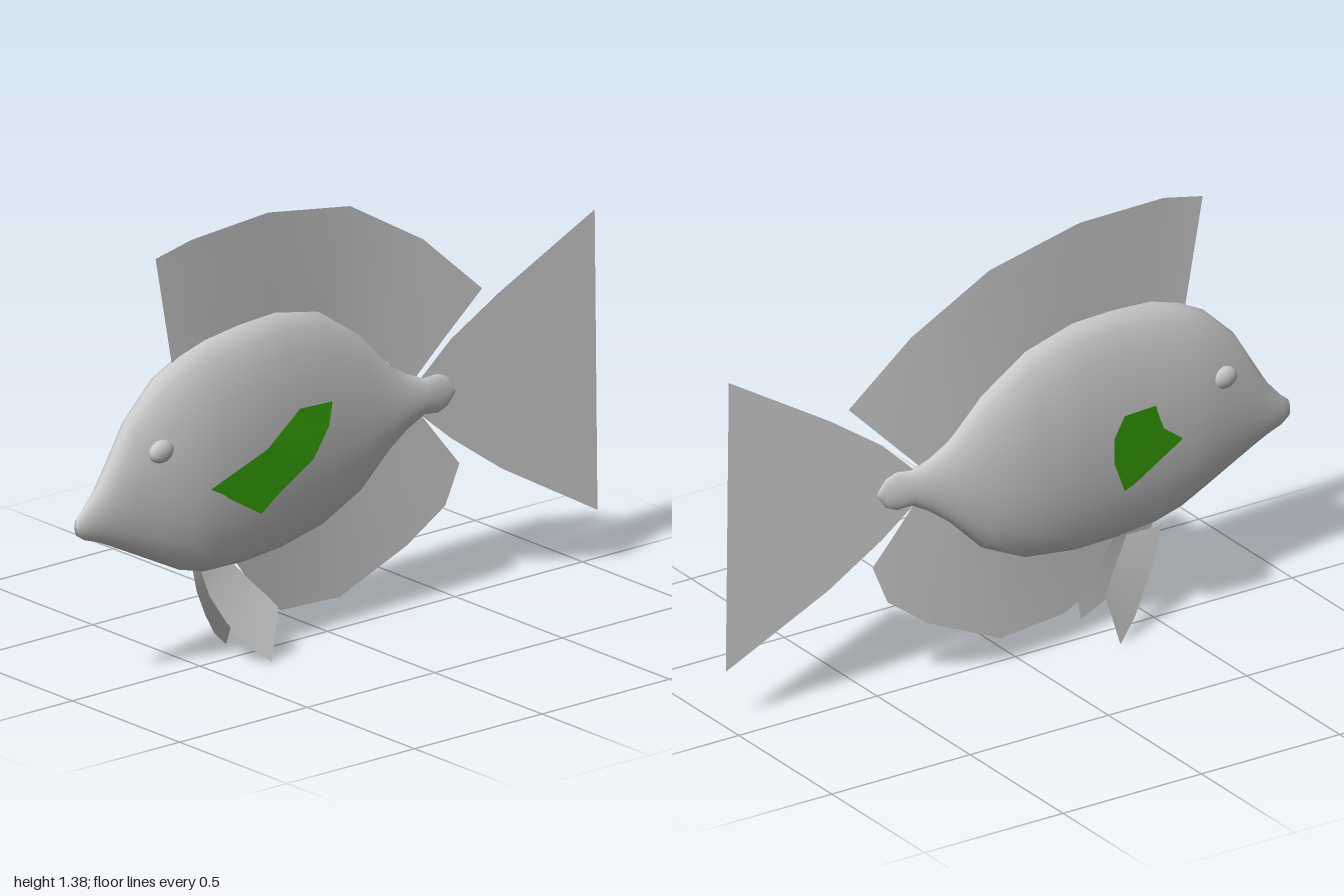
import * as THREE from 'three';

const grey = new THREE.MeshStandardMaterial({ color: 0xcccccc });
const finGrey = new THREE.MeshStandardMaterial({ color: 0xcccccc, side: THREE.DoubleSide });
const finGreen = new THREE.MeshStandardMaterial({ color: 0x4cdc10, side: THREE.DoubleSide });

// Body stations, nose to tail: z, top, bottom, right edge x, left edge x
const stations = [
  [1.0, 0.585, 0.53, 0.01, 0.035],
  [0.97, 0.61, 0.51, 0.0, 0.04],
  [0.92, 0.665, 0.493, -0.012, 0.05],
  [0.87, 0.745, 0.47, -0.022, 0.06],
  [0.8, 0.86, 0.435, -0.037, 0.075],
  [0.69, 0.965, 0.38, -0.058, 0.097],
  [0.6, 1.01, 0.335, -0.068, 0.11],
  [0.5, 1.04, 0.308, -0.077, 0.117],
  [0.35, 1.055, 0.3, -0.09, 0.11],
  [0.2, 1.055, 0.305, -0.102, 0.09],
  [0.02, 1.015, 0.335, -0.11, 0.065],
  [-0.14, 0.91, 0.41, -0.09, 0.04],
  [-0.25, 0.79, 0.52, -0.062, 0.028],
  [-0.32, 0.745, 0.572, -0.045, 0.022],
  [-0.38, 0.72, 0.605, -0.03, 0.02],
  [-0.43, 0.725, 0.6, -0.02, 0.018],
  [-0.465, 0.71, 0.615, -0.01, 0.016],
  [-0.49, 0.675, 0.65, 0.0, 0.014],
];

// Sideways bend of the swimming body, continued into the tail
const spine = [...stations.map(([z, , , r, l]) => [z, (r + l) / 2]), [-1, 0.07]];
function bend(z) {
  for (let i = 0; i < spine.length - 1; i++) {
    const [z0, x0] = spine[i], [z1, x1] = spine[i + 1];
    if (z >= z1) return x0 + (x1 - x0) * Math.min(1, Math.max(0, (z0 - z) / (z0 - z1)));
  }
  return 0.07;
}

// Surface through equal-length rows of [x, y, z] points
function loft(rows) {
  const n = rows[0].length, index = [];
  for (let i = 0; i < rows.length - 1; i++) {
    for (let j = 0; j < n - 1; j++) {
      const a = i * n + j, b = a + 1, c = a + n, d = c + 1;
      index.push(a, c, b, b, c, d);
    }
  }
  const g = new THREE.BufferGeometry();
  g.setAttribute('position', new THREE.Float32BufferAttribute(rows.flat(2), 3));
  g.setIndex(index);
  g.computeVertexNormals();
  return g;
}

function bodyGeometry() {
  const sides = 24;
  const ring = ([z, top, bottom, r, l]) => Array.from({ length: sides + 1 }, (_, j) => {
    const a = -Math.PI / 2 + (j / sides) * Math.PI * 2;
    return [
      (r + l) / 2 + ((l - r) / 2) * Math.cos(a),
      (top + bottom) / 2 + ((top - bottom) / 2) * Math.sin(a), z];
  });
  // Collapsed end rings close the nose and the tail root
  const rows = [[1.004, 0.557, 0.557, 0.022, 0.022], ...stations, [-0.495, 0.662, 0.662, 0.007, 0.007]];
  const g = loft(rows.map(ring));
  // Match normals along the seam on the belly
  const nrm = g.attributes.normal, a = new THREE.Vector3(), b = new THREE.Vector3();
  for (let i = 0; i < rows.length; i++) {
    const s = i * (sides + 1), e = s + sides;
    a.fromBufferAttribute(nrm, s).add(b.fromBufferAttribute(nrm, e)).normalize();
    nrm.setXYZ(s, a.x, a.y, a.z);
    nrm.setXYZ(e, a.x, a.y, a.z);
  }
  return g;
}

// Median fin between two [z, y] edges, following the bend of the body
function medianFin(inner, outer, steps = 4) {
  const rows = [];
  for (let i = 0; i <= steps; i++) {
    rows.push(inner.map(([z0, y0], j) => {
      const t = i / steps;
      const z = z0 + (outer[j][0] - z0) * t, y = y0 + (outer[j][1] - y0) * t;
      return [bend(z), y, z];
    }));
  }
  return loft(rows);
}

export function createModel() {
  const fish = new THREE.Group();
  fish.name = 'fish';
  const add = (name, geometry, material) => {
    const m = new THREE.Mesh(geometry, material);
    m.name = name;
    fish.add(m);
    return m;
  };

  add('body', bodyGeometry(), grey);

  add('dorsalFin', medianFin(
    [[0.625, 0.98], [0.5, 1.02], [0.22, 1.03], [0.02, 0.99], [-0.16, 0.87], [-0.34, 0.715]],
    [[0.69, 1.34], [0.55, 1.37], [0.23, 1.38], [-0.11, 1.32], [-0.38, 1.16], [-0.59, 0.965]]), finGrey);

  add('analFin', medianFin(
    [[0.38, 0.32], [0.28, 0.32], [0.2, 0.32], [0.02, 0.35], [-0.14, 0.43], [-0.25, 0.54], [-0.36, 0.62]],
    [[0.27, 0.175], [0.22, 0.125], [0.17, 0.105], [-0.07, 0.09], [-0.32, 0.2], [-0.46, 0.3], [-0.51, 0.425]]), finGrey);

  add('tailFin', medianFin(
    [[-0.37, 0.72], [-0.48, 0.825], [-0.65, 0.94], [-0.99, 1.14]],
    [[-0.37, 0.605], [-0.48, 0.51], [-0.66, 0.38], [-1.0, 0.185]]), finGrey);

  for (const [side, s] of [['left', 1], ['right', -1]]) {
    // Eye bulge
    const eye = add(side + 'Eye', new THREE.SphereGeometry(0.045, 16, 12), grey);
    eye.scale.set(0.5, 0.8, 1);
    eye.position.set(0.022 + s * 0.066, 0.755, 0.725);

    // Pelvic fin: front edge, then rear edge
    add(side + 'PelvicFin', loft([
      [[0.02, 0.31, 0.515], [0.03, 0.23, 0.49], [0.05, 0.14, 0.44], [0.078, 0.06, 0.38], [0.107, 0.002, 0.31]],
      [[0.02, 0.31, 0.39], [0.04, 0.26, 0.35], [0.06, 0.215, 0.31], [0.085, 0.165, 0.27], [0.087, 0.16, 0.27]],
    ].map(row => row.map(([x, y, z]) => [s * x + 0.003, y, z]))), finGrey);

    // Pectoral fin: short root strip, then the raised blade
    const root = s > 0 ? 0.04 : 0;
    add(side + 'PectoralFin', loft([
      [[0.07, 0.6, 0.55], [0.11, 0.63, 0.53], [0.19, 0.725, 0.41], [0.225, 0.785, 0.37], [0.265, 0.85, 0.33]],
      [[0.07, 0.48, 0.35], [0.1, 0.525, 0.32], [0.19, 0.655, 0.23], [0.235, 0.76, 0.2], [0.275, 0.85, 0.21]],
    ].map(row => row.map(([x, y, z], j) => [s * (x + root * (1 - j / 4)), y, z]))), finGreen);
  }
  return fish;
}
